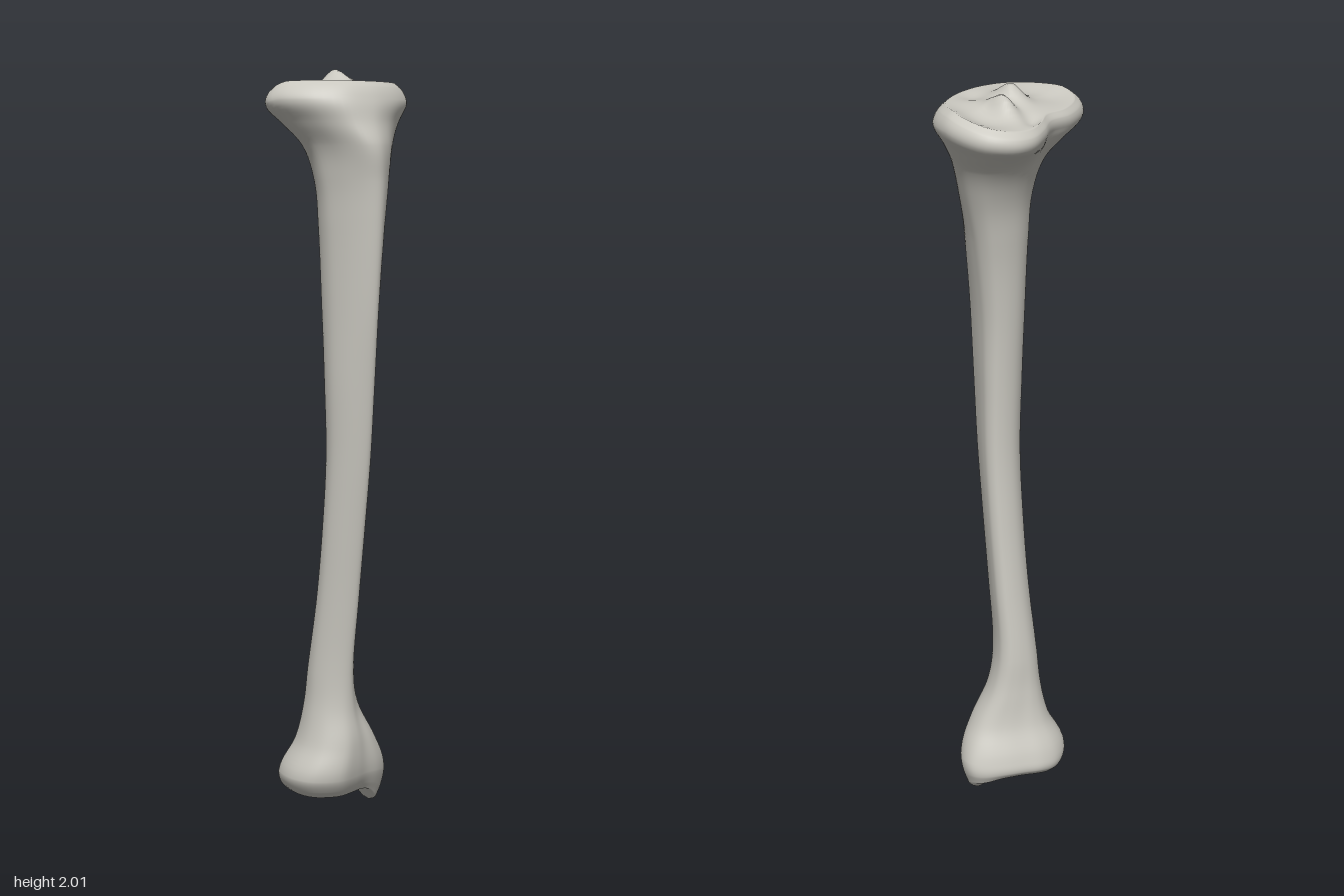
import * as THREE from 'three';

// Outlines run from the front crest round by +x, the back and -x.
const PLATEAU = [
  [-0.04, 0.14], [0.03, 0.135], [0.1, 0.113], [0.17, 0.07], [0.21, 0], [0.217, -0.06], [0.19, -0.14], [0.13, -0.183],
  [0.075, -0.188], [0.015, -0.165], [-0.04, -0.135], [-0.11, -0.132], [-0.185, -0.1], [-0.218, -0.05], [-0.19, 0.05], [-0.12, 0.12]];
const SHAFT = [
  [-0.1, 1], [0.2, 0.85], [0.45, 0.55], [0.7, 0.2], [0.9, -0.15], [1, -0.45], [0.9, -0.75], [0.6, -0.92],
  [0.25, -1], [-0.05, -1], [-0.35, -0.92], [-0.65, -0.75], [-0.9, -0.45], [-1, -0.1], [-0.85, 0.4], [-0.45, 0.85]];
const ANKLE = [
  [-0.1, 0.95], [0.2, 0.9], [0.5, 0.92], [0.8, 0.75], [0.97, 0.45], [1, 0.1], [0.85, -0.2], [0.55, -0.5],
  [0.2, -0.75], [-0.1, -0.95], [-0.4, -1], [-0.7, -0.85], [-0.9, -0.5], [-1, 0], [-0.9, 0.55], [-0.5, 0.95]];

// Sections: y, x min, x max, z back, z front, outline (-1 ankle, 0 shaft, 1 plateau), crest shift
const ROWS = [
  [0.055, -0.1, 0.155, -0.15, 0.03, -1, 0],
  [0.075, -0.12, 0.168, -0.172, 0.045, -1, 0],
  [0.11, -0.135, 0.168, -0.172, 0.06, -1, 0],
  [0.2, -0.1, 0.12, -0.13, 0.065, -0.85, 0],
  [0.3, -0.08, 0.075, -0.107, 0.052, -0.45, 0],
  [0.4, -0.075, 0.055, -0.095, 0.053, -0.15, 0],
  [0.6, -0.072, 0.048, -0.063, 0.075, 0, 0],
  [0.8, -0.075, 0.045, -0.037, 0.1, 0, 0],
  [1.0, -0.08, 0.042, -0.02, 0.125, 0, 0],
  [1.2, -0.09, 0.04, -0.02, 0.145, 0, 0],
  [1.4, -0.095, 0.045, -0.03, 0.165, 0, -0.1],
  [1.6, -0.102, 0.073, -0.045, 0.18, 0, -0.2],
  [1.72, -0.112, 0.105, -0.062, 0.186, 0.1, -0.25],
  [1.81, -0.135, 0.14, -0.1, 0.187, 0.3, -0.28],
  [1.87, -0.178, 0.182, -0.15, 0.165, 0.7, -0.15],
  [1.925, -0.216, 0.216, -0.185, 0.15, 1, 0],
  [1.96, -0.2, 0.208, -0.188, 0.13, 1, 0],
  [1.975, -0.18, 0.19, -0.172, 0.112, 1, 0]];

const N = 72;
const STEPS = 7;
const BOTTOM_T = [0, 0.12, 0.25, 0.4, 0.55, 0.7, 0.82, 0.91, 0.97];
const TOP_T = [0.97, 0.92, 0.85, 0.77, 0.69, 0.61, 0.53, 0.45, 0.37, 0.29, 0.21, 0.14, 0.07, 0];

// Scale a list of points so that it spans -1..1 both ways
function normalise(points) {
  const span = k => {
    const v = points.map(p => p[k]);
    return [Math.min(...v), Math.max(...v)];
  };
  const [a, b] = span(0), [c, d] = span(1);
  return points.map(([x, z]) => [2 * (x - a) / (b - a) - 1, 2 * (z - c) / (d - c) - 1]);
}

// Smooth closed outline with N points
function smoothOutline(points) {
  const curve = new THREE.CatmullRomCurve3(points.map(([x, z]) => new THREE.Vector3(x, 0, z)), true);
  return normalise(Array.from({ length: N }, (_, i) => {
    const p = curve.getPoint(i / N);
    return [p.x, p.z];
  }));
}

const bump = (x, z, cx, cz, rx, rz = rx) => Math.exp(-(((x - cx) / rx) ** 2) - ((z - cz) / rz) ** 2);

// Two hollow joint surfaces, the paired spines between them and the rear notch
const plateauRelief = (x, z) =>
  -0.02 * bump(x, z, 0.14, -0.06, 0.06, 0.08) - 0.014 * bump(x, z, -0.11, -0.02, 0.06, 0.07)
  + 0.034 * bump(x, z, -0.01, -0.015, 0.028, 0.045) + 0.038 * bump(x, z, 0.06, -0.06, 0.024, 0.04)
  - 0.016 * bump(x, z, 0.03, -0.14, 0.03) - 0.012 * bump(x, z, 0.05, 0.07, 0.04);

// Slope the plateau to the back; draw the inner ankle knob and rear lip downwards
function shapedHeight(x, y, z) {
  const top = THREE.MathUtils.smoothstep(y, 1.82, 1.95);
  const low = 1 - THREE.MathUtils.smoothstep(y, 0.05, 0.16);
  return y + top * 0.24 * Math.min(0, z + 0.02)
    - low * (0.056 * bump(x, z, 0.125, -0.015, 0.036, 0.05) + 0.015 * bump(x, z, -0.05, -0.15, 0.05, 0.04));
}

function buildRings() {
  const outlines = [ANKLE, SHAFT, PLATEAU].map(o => smoothOutline(normalise(o)));
  const sampler = new THREE.CubicInterpolant(ROWS.map(r => r[0]), ROWS.flat(), 7);

  const section = y => {
    const [, x0, x1, z0, z1, blend, crest] = sampler.evaluate(y);
    const other = outlines[blend < 0 ? 0 : 2];
    const w = Math.min(1, Math.abs(blend));
    const shape = normalise(outlines[1].map(([x, z], i) => {
      const px = THREE.MathUtils.lerp(x, other[i][0], w);
      const pz = THREE.MathUtils.lerp(z, other[i][1], w);
      return [px + crest * Math.max(0, pz) ** 2, pz];
    }));
    return shape.map(([x, z]) => [
      (x0 + x1) / 2 + x * (x1 - x0) / 2, y, (z0 + z1) / 2 + z * (z1 - z0) / 2]);
  };

  // Rings shrinking to the middle of an end section
  const shrink = (ring, t, relief) => {
    const cx = ring.reduce((s, p) => s + p[0], 0) / N;
    const cz = ring.reduce((s, p) => s + p[2], 0) / N;
    return ring.map(([x, y, z]) => {
      const px = cx + (x - cx) * t, pz = cz + (z - cz) * t;
      return [px, y + relief(px, pz) * (1 - t ** 6), pz];
    });
  };

  const walls = [];
  ROWS.forEach((row, i) => {
    if (i === 0) return walls.push(section(row[0]));
    for (let s = 1; s <= STEPS; s++) {
      walls.push(section(THREE.MathUtils.lerp(ROWS[i - 1][0], row[0], s / STEPS)));
    }
  });
  const first = walls[0], last = walls[walls.length - 1];
  return [
    ...BOTTOM_T.map(t => shrink(first, t, (x, z) => 0.025 * bump(x, z, 0.01, -0.05, 0.07, 0.06))),
    ...walls,
    ...TOP_T.map(t => shrink(last, t, plateauRelief))];
}

export function createModel() {
  const group = new THREE.Group();
  group.name = 'shinBone';
  const bone = new THREE.MeshStandardMaterial({ color: 0xc9c7bf });
  bone.name = 'bone';

  const rings = buildRings();
  const position = new THREE.Float32BufferAttribute(
    rings.flat().flatMap(([x, y, z]) => [x, shapedHeight(x, y, z), z]), 3);

  const stitch = (from, to) => {
    const index = [];
    for (let i = from; i < to; i++) {
      for (let j = 0; j < N; j++) {
        const a = i * N + j, b = i * N + (j + 1) % N;
        index.push(a, b, b + N, a, b + N, a + N);
      }
    }
    return index;
  };

  // Normals come from the whole surface, so the parts join without a seam
  const whole = new THREE.BufferGeometry();
  whole.setAttribute('position', position);
  whole.setIndex(stitch(0, rings.length - 1));
  whole.computeVertexNormals();

  const ankleTop = BOTTOM_T.length + 4 * STEPS;
  const kneeBase = BOTTOM_T.length + 12 * STEPS;
  const parts = { ankleEnd: [0, ankleTop], shaft: [ankleTop, kneeBase], kneeEnd: [kneeBase, rings.length - 1] };
  for (const [name, [from, to]] of Object.entries(parts)) {
    const geometry = new THREE.BufferGeometry();
    geometry.setAttribute('position', position);
    geometry.setAttribute('normal', whole.attributes.normal);
    geometry.setIndex(stitch(from, to));
    const mesh = new THREE.Mesh(geometry, bone);
    mesh.name = name;
    group.add(mesh);
  }
  return group;
}
